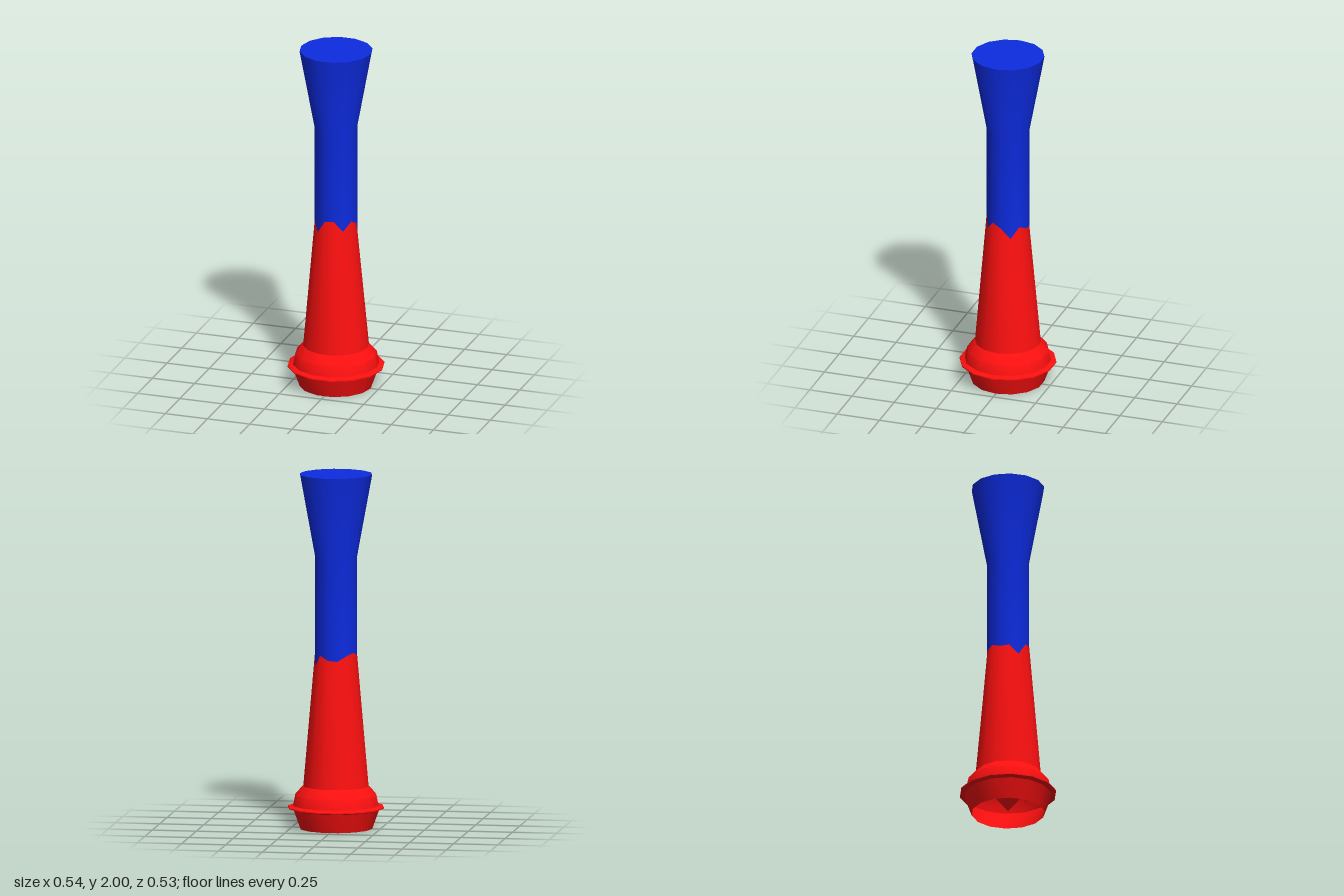
import * as THREE from 'three';
import { toCreasedNormals } from 'three/addons/utils/BufferGeometryUtils.js';

const SIDES = 14;
// Heights of the jagged colour border, one per side
const BORDER = [0.98, 1.005, 0.955, 1.015, 1.01, 0.935, 0.985, 0.98, 1.0, 0.985, 0.955, 0.96, 0.985, 0.92];

// Turned part; the profile point at index `jagged` follows the border heights
function turned(name, color, profile, jagged = -1) {
  const points = profile.map(([r, y]) => new THREE.Vector2(r, y));
  const geo = new THREE.LatheGeometry(points, SIDES, Math.PI / 2);
  if (jagged >= 0) {
    const pos = geo.attributes.position;
    for (let i = 0; i <= SIDES; i++) {
      pos.setY(i * points.length + jagged, BORDER[(SIDES - i) % SIDES]);
    }
  }
  const material = new THREE.MeshStandardMaterial({ color, side: THREE.DoubleSide });
  const mesh = new THREE.Mesh(toCreasedNormals(geo, 0.6), material);
  mesh.name = name;
  return mesh;
}

export function createModel() {
  const group = new THREE.Group();
  group.name = 'flaredHandle';
  const red = 0xff1010, blue = 0x0d2be0;

  // Open foot below the rim
  group.add(turned('foot', red, [[0.205, 0], [0.245, 0.11]]));
  // Thin projecting rim
  group.add(turned('rim', red, [[0.245, 0.108], [0.272, 0.116], [0.272, 0.122], [0.245, 0.132]]));
  // Shoulder and tapering lower body, ending in the jagged border
  group.add(turned('lowerBody', red, [[0.245, 0.11], [0.241, 0.135], [0.23, 0.19], [0.185, 0.24], [0.12, 1]], 4));
  // Pointed core inside the foot
  group.add(turned('innerCone', red, [[0, 0.01], [0.184, 0.24]]));
  // Straight grip flaring to a closed top
  group.add(turned('upperBody', blue, [[0.12, 1], [0.12, 1.54], [0.205, 2], [0, 2]], 0));
  return group;
}
